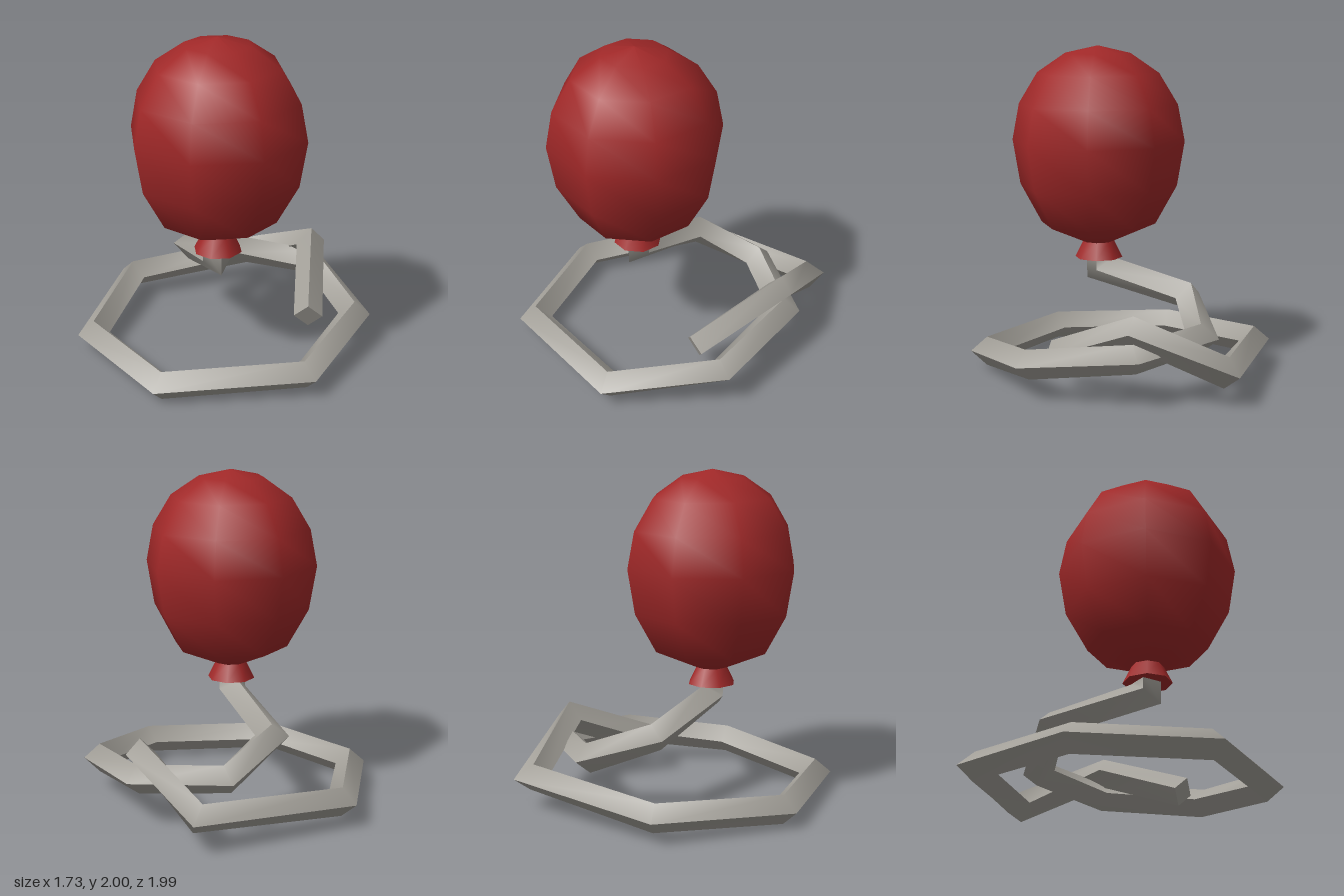
import * as THREE from 'three';

const red = new THREE.MeshStandardMaterial({ color: 0xa02828 });
red.name = 'balloon red';
const grey = new THREE.MeshStandardMaterial({ color: 0xa3a099 });
grey.name = 'string grey';

// Sweep a diamond section along a path with mitred corners; sides are smooth along the length
function sweepDiamond(path, r) {
  const n = path.length;
  const up = new THREE.Vector3(0, 1, 0);
  const dirs = path.slice(1).map((p, i) => p.clone().sub(path[i]).normalize());
  const rings = path.map((p, i) => {
    const d0 = dirs[Math.max(i - 1, 0)], d1 = dirs[Math.min(i, n - 2)];
    // the vertical start borrows the heading of the first bend
    const t = i === 0 ? dirs[0].clone() : d0.clone().add(d1).normalize();
    const heading = i === 0 ? dirs[1] : t;
    const side = heading.clone().cross(up).normalize();
    const top = side.clone().cross(t).normalize();
    const m = d1.clone().sub(d0);
    const stretch = 1 / Math.max(t.dot(d1), 0.5) - 1;
    if (m.length() > 1e-6) m.normalize();
    return [[1, 0], [0, 1], [-1, 0], [0, -1]].map(([s, u]) => {
      const o = side.clone().multiplyScalar(s * r).addScaledVector(top, u * r);
      o.addScaledVector(m, o.dot(m) * stretch);
      return o.add(p);
    });
  });

  const pos = [], index = [];
  const add = (v) => pos.push(v.x, v.y, v.z);
  for (let k = 0; k < 4; k++) {
    const base = pos.length / 3;
    rings.forEach((ring) => { add(ring[k]); add(ring[(k + 1) % 4]); });
    for (let i = 0; i < n - 1; i++) {
      const a = base + 2 * i, b = a + 1, d = a + 2, c = a + 3;
      index.push(a, d, c, a, c, b);
    }
  }
  // End caps
  let base = pos.length / 3;
  rings[0].forEach(add);
  index.push(base, base + 1, base + 2, base, base + 2, base + 3);
  base += 4;
  rings[n - 1].forEach(add);
  index.push(base, base + 2, base + 1, base, base + 3, base + 2);

  const geo = new THREE.BufferGeometry();
  geo.setAttribute('position', new THREE.Float32BufferAttribute(pos, 3));
  geo.setIndex(index);
  geo.computeVertexNormals();
  return geo;
}

export function createModel() {
  const model = new THREE.Group();
  model.name = 'balloonWithString';

  const addPart = (name, geometry, material, x = 0, y = 0, z = 0) => {
    const mesh = new THREE.Mesh(geometry, material);
    mesh.name = name;
    mesh.position.set(x, y, z);
    model.add(mesh);
  };

  // Eight-sided balloon body
  const profile = [
    [0, 0.77], [0.09, 0.79], [0.355, 0.905], [0.487, 1.145], [0.533, 1.42],
    [0.49, 1.645], [0.375, 1.835], [0.2, 1.955], [0, 2],
  ].map(([x, y]) => new THREE.Vector2(x, y));
  addPart('balloon', new THREE.LatheGeometry(profile, 8), red, -0.003, 0, 0.26);

  // Flared knot under the balloon
  addPart('knot', new THREE.CylinderGeometry(0.095, 0.147, 0.105, 8), red, -0.006, 0.742, 0.26);

  // String: drops from the knot, coils round and ends in a raised tail
  const path = [
    [-0.015, 0.72, 0.258], [-0.015, 0.62, 0.255], [-0.335, 0.475, -0.2],
    [-0.13, 0.32, -0.56], [0.4, 0.285, -0.565], [0.775, 0.21, -0.055],
    [0.62, 0.12, 0.595], [-0.16, 0.093, 0.9], [-0.752, 0.102, 0.44],
    [-0.775, 0.145, -0.35], [-0.02, 0.2, -0.88], [0.385, 0.435, -0.54],
    [0.505, 0.2, 0.035],
  ].map((p) => new THREE.Vector3(...p));
  addPart('string', sweepDiamond(path, 0.088), grey);

  return model;
}
